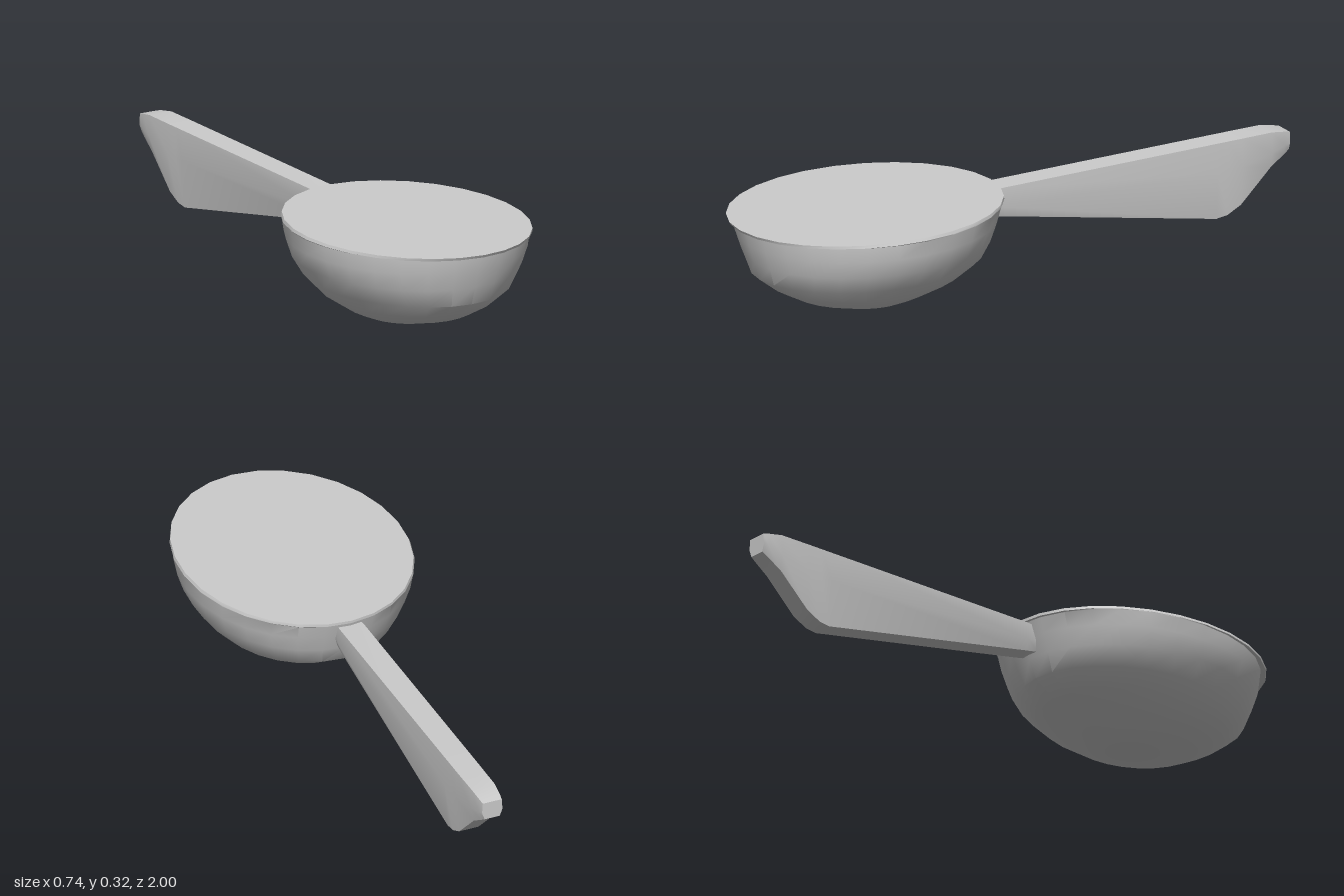
import * as THREE from 'three';
import { toCreasedNormals } from 'three/addons/utils/BufferGeometryUtils.js';

// Skin a stack of closed rings and cap both ends with fans.
// Each ring runs counter-clockwise about the direction of travel.
function loft(rings, crease) {
  const n = rings[0].length;
  const points = rings.flat();
  const index = [];
  for (let r = 0; r < rings.length - 1; r++) {
    for (let i = 0; i < n; i++) {
      const a = r * n + i, b = r * n + (i + 1) % n;
      index.push(a, b, b + n, a, b + n, a + n);
    }
  }
  [rings[0], rings[rings.length - 1]].forEach((ring, end) => {
    const centre = new THREE.Vector3();
    ring.forEach((p) => centre.addScaledVector(p, 1 / n));
    const c = points.push(centre) - 1;
    const start = end ? (rings.length - 1) * n : 0;
    for (let i = 0; i < n; i++) {
      const a = start + i, b = start + (i + 1) % n;
      index.push(c, ...(end ? [a, b] : [b, a]));
    }
  });
  const geometry = new THREE.BufferGeometry().setFromPoints(points);
  geometry.setIndex(index);
  return toCreasedNormals(geometry, crease);
}

export function createModel() {
  const group = new THREE.Group();
  const material = new THREE.MeshStandardMaterial({ color: 0xcccccc });
  const add = (name, geometry) => {
    const mesh = new THREE.Mesh(geometry, material);
    mesh.name = name;
    group.add(mesh);
  };

  // Oval bowl with a flat closed top: height, half width, back z, front z
  const levels = [
    [0, 0.07, 0.45, 0.58],
    [0.02, 0.135, 0.39, 0.68],
    [0.05, 0.2, 0.32, 0.785],
    [0.09, 0.26, 0.22, 0.86],
    [0.14, 0.305, 0.145, 0.925],
    [0.2, 0.343, 0.12, 0.945],
    [0.26, 0.363, 0.1, 0.965],
    [0.308, 0.367, 0.085, 0.972],
    [0.311, 0.369, 0.08, 0.995],
    [0.32, 0.365, 0.08, 1],
  ];
  const sides = 28;
  add('bowl', loft(levels.map(([y, rx, back, front]) =>
    Array.from({ length: sides }, (_, i) => {
      const t = (i / sides) * Math.PI * 2;
      return new THREE.Vector3(rx * Math.cos(t), y,
        (front + back) / 2 - ((front - back) / 2) * Math.sin(t));
    })), 0.6));

  // Handle deepening toward its end: z, bottom y, middle y, top y, half width
  const sections = [
    [0.13, 0.215, 0.25, 0.295, 0.042],
    [0.08, 0.205, 0.24, 0.298, 0.044],
    [-0.73, 0.045, 0.2, 0.298, 0.044],
    [-0.77, 0.05, 0.2, 0.298, 0.044],
    [-0.82, 0.075, 0.205, 0.298, 0.044],
    [-0.93, 0.18, 0.23, 0.298, 0.043],
    [-0.98, 0.212, 0.245, 0.29, 0.038],
    [-1, 0.225, 0.25, 0.285, 0.035],
  ];
  add('handle', loft(sections.map(([z, bottom, middle, top, w]) => [
    [w * 0.93, top], [w, middle], [w * 0.75, bottom],
    [-w * 0.75, bottom], [-w, middle], [-w * 0.93, top],
  ].map(([x, y]) => new THREE.Vector3(x, y, z))), 0.6));

  return group;
}
